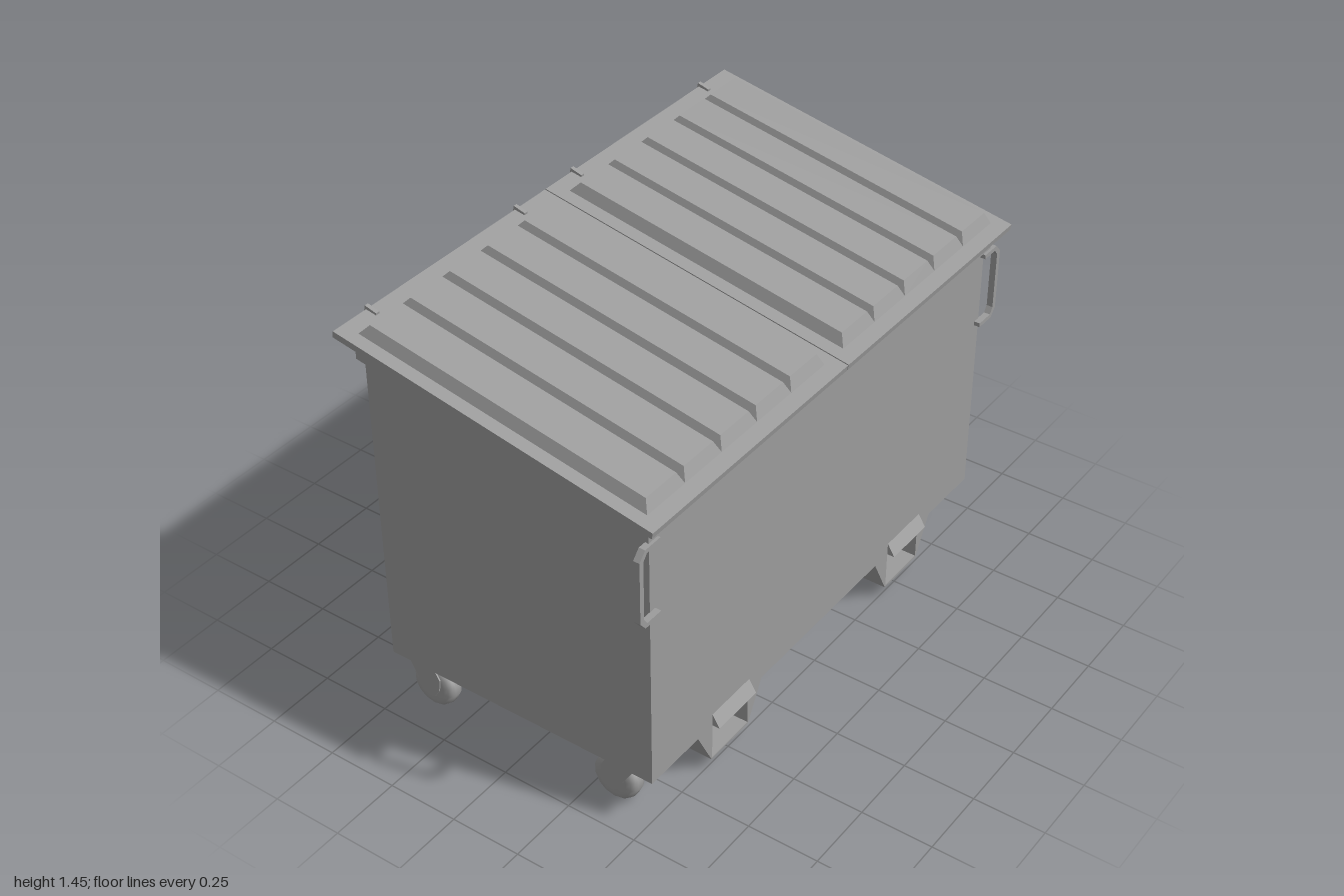
import * as THREE from 'three';

const grey = new THREE.MeshStandardMaterial({ color: 0x9c9c9c, side: THREE.DoubleSide });
const FLOOR = 0.187;

function add(parent, name, geometry, x = 0, y = 0, z = 0) {
  const mesh = new THREE.Mesh(geometry, grey);
  mesh.name = name;
  mesh.position.set(x, y, z);
  parent.add(mesh);
  return mesh;
}

// Side outline (x, y) extruded along z, centred
function prism(points, depth) {
  const shape = new THREE.Shape(points.map(([x, y]) => new THREE.Vector2(x, y)));
  return new THREE.ExtrudeGeometry(shape, { depth, bevelEnabled: false }).translate(0, 0, -depth / 2);
}

// Front outline (z, y) extruded along x, centred
const crossPrism = (points, depth) => prism(points, depth).rotateY(-Math.PI / 2);

// Box standing on y = 0 whose top face is inset on all four sides
function frustum(w, h, d, insetX, insetZ) {
  const g = new THREE.BoxGeometry(w, h, d).translate(0, h / 2, 0);
  const p = g.attributes.position;
  for (let i = 0; i < p.count; i++) {
    if (p.getY(i) < h / 2) continue;
    p.setX(i, p.getX(i) - Math.sign(p.getX(i)) * insetX);
    p.setZ(i, p.getZ(i) - Math.sign(p.getZ(i)) * insetZ);
  }
  g.computeVertexNormals();
  return g;
}

// Half of the lid: slab with five raised panels
function lidHalf(side) {
  const lid = new THREE.Group();
  lid.name = side > 0 ? 'leftLid' : 'rightLid';
  add(lid, 'lidPanel', new THREE.BoxGeometry(1.163, 0.022, 0.986), 0, -0.011, side * 0.495);
  const pitch = 0.178;
  for (let i = 0; i < 5; i++) {
    add(lid, 'lidRib', frustum(1.052, 0.037, pitch, 0.025, 0.018), 0.002, 0, side * (0.141 + i * pitch));
  }
  return lid;
}

// Caster whose wheel trails towards the middle of the bin (dir = +1 or -1 in x)
function caster(dir) {
  const g = new THREE.Group();
  g.name = 'caster';
  const profile = [[0, -0.035], [0.05, -0.034], [0.068, -0.031], [0.079, -0.022], [0.083, -0.01],
    [0.083, 0.01], [0.079, 0.022], [0.068, 0.031], [0.05, 0.034], [0, 0.035]];
  const wheel = new THREE.LatheGeometry(profile.map(([r, y]) => new THREE.Vector2(r, y)), 14);
  add(g, 'wheel', wheel.rotateX(Math.PI / 2), 0, 0.084, 0);
  const facing = (points) => points.map(([x, y]) => [x * dir, y]);
  const plate = facing([[-0.095, FLOOR], [0.022, FLOOR], [0.022, 0.165], [0.042, 0.13], [0.036, 0.085],
    [0.018, 0.055], [-0.005, 0.05], [-0.025, 0.07], [-0.075, 0.155]]);
  for (const s of [-1, 1]) add(g, 'forkPlate', prism(plate, 0.005), 0, 0, s * 0.0375);
  const guard = facing([[-0.095, FLOOR], [-0.075, 0.155], [-0.061, 0.13], [-0.056, 0.148], [-0.08, FLOOR]]);
  add(g, 'forkGuard', prism(guard, 0.08));
  add(g, 'forkTop', new THREE.BoxGeometry(0.117, 0.016, 0.08), -0.0365 * dir, FLOOR - 0.008, 0);
  return g;
}

// Open-fronted fork pocket with a flared lip above it
function forkPocket() {
  const g = new THREE.Group();
  g.name = 'forkPocket';
  const u = [[-0.175, FLOOR], [-0.1, 0.041], [0.1, 0.041], [0.175, FLOOR],
    [0.097, FLOOR], [0.097, 0.049], [-0.097, 0.049], [-0.097, FLOOR]];
  add(g, 'pocketChannel', crossPrism(u, 0.285), 0.3725, 0, 0);
  add(g, 'pocketBack', new THREE.BoxGeometry(0.008, 0.14, 0.196), 0.236, 0.117, 0);
  add(g, 'pocketLip', prism([[0.516, 0.233], [0.516, FLOOR], [0.544, FLOOR]], 0.2));
  return g;
}

function hinge() {
  const g = new THREE.Group();
  g.name = 'hinge';
  const strap = [[-0.568, 1.447], [-0.525, 1.435], [-0.53, 1.39], [-0.578, 1.4]];
  add(g, 'hingeStrap', prism(strap, 0.014));
  add(g, 'hingeLug', prism([[-0.555, 1.4], [-0.522, 1.4], [-0.522, 1.332], [-0.533, 1.335], [-0.54, 1.37]], 0.022));
  const pin = new THREE.CylinderGeometry(0.012, 0.012, 0.045, 10).rotateX(Math.PI / 2);
  add(g, 'hingePin', pin, -0.567, 1.415, 0);
  return g;
}

export function createModel() {
  const model = new THREE.Group();
  model.name = 'wheeledWasteBin';

  // Sloped container and the wider rim around its mouth
  add(model, 'container', prism([[-0.51, FLOOR], [0.517, FLOOR], [0.517, 1.17], [-0.51, 1.36]], 1.852));
  add(model, 'rim', prism([[-0.525, 1.33], [0.53, 1.132], [0.53, 1.198], [-0.525, 1.397]], 1.892));

  // Sloping pair of lids
  const lids = new THREE.Group();
  lids.name = 'lids';
  lids.position.set(0.007, 1.327, 0.002);
  lids.rotation.z = -Math.atan(0.1886);
  lids.add(lidHalf(1), lidHalf(-1));
  model.add(lids);

  // Hinges along the high edge
  for (const z of [-0.842, -0.14, 0.148, 0.84]) {
    const h = hinge();
    h.position.z = z;
    model.add(h);
  }

  // Parts mirrored on both ends
  const grip = [[0.9, 1.13], [0.972, 1.13], [0.999, 1.1], [0.999, 0.878], [0.975, 0.848], [0.9, 0.848],
    [0.9, 0.863], [0.967, 0.863], [0.981, 0.885], [0.981, 1.093], [0.964, 1.115], [0.9, 1.115]];
  for (const s of [-1, 1]) {
    add(model, 'handle', crossPrism(grip.map(([z, y]) => [z * s, y]), 0.022), 0.527, 0, 0);
    const pocket = forkPocket();
    pocket.position.z = s * 0.512;
    model.add(pocket);
    for (const [x, dir] of [[-0.383, 1], [0.345, -1]]) {
      const c = caster(dir);
      c.position.set(x, 0, s * 0.863);
      model.add(c);
    }
  }
  return model;
}
